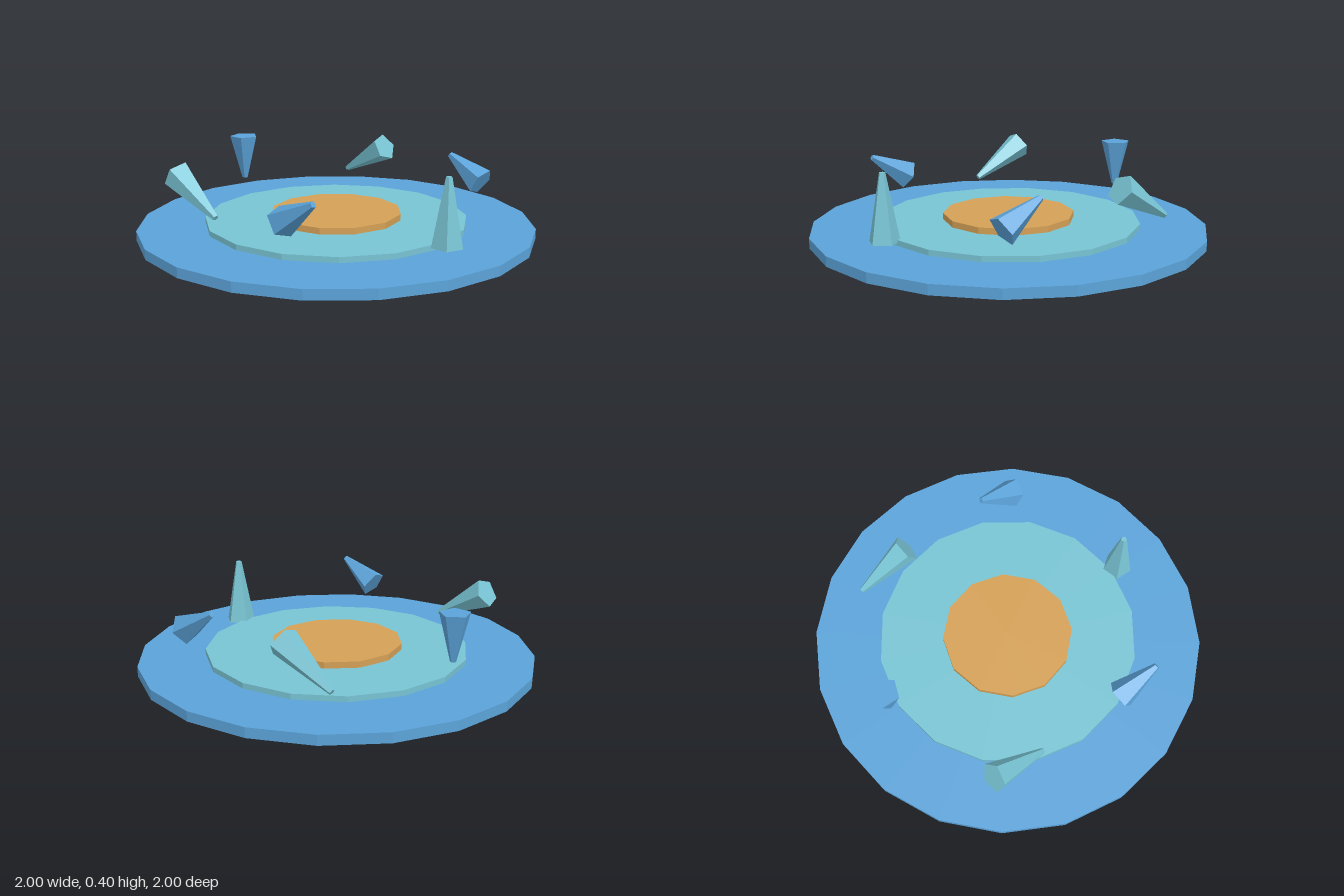
import * as THREE from 'three';

export function createModel() {
  const model = new THREE.Group();
  model.name = 'crystalRingPlatform';

  const flat = (name, color) => {
    const m = new THREE.MeshStandardMaterial({ color, flatShading: true });
    m.name = name;
    return m;
  };
  const blue = flat('blue', 0x5ba3d9);
  const teal = flat('teal', 0x78c4d4);
  const gold = flat('gold', 0xd4a056);

  // Stacked low-poly discs, each resting on the one below
  const addDisc = (name, radius, sides, bottom, top, material) => {
    const disc = new THREE.Mesh(
      new THREE.CylinderGeometry(radius, radius, top - bottom, sides), material);
    disc.position.y = (bottom + top) / 2;
    disc.name = name;
    model.add(disc);
  };
  addDisc('baseDisc', 1, 20, 0, 0.05, blue);
  addDisc('middleDisc', 0.665, 16, 0.05, 0.078, teal);
  addDisc('centreDisc', 0.333, 12, 0.078, 0.11, gold);

  // Ring of five-sided crystals, each tumbled 60 degrees further than the last
  const ringRadius = 0.706;
  for (let i = 0; i < 6; i++) {
    const angle = (i * Math.PI) / 3;
    const large = i % 2 === 0;
    const height = large ? 0.333 : 0.235;
    const crystal = new THREE.Mesh(
      new THREE.CylinderGeometry(0.0155, 0.077, height, 5, 1, false, Math.PI),
      large ? teal : blue);
    crystal.position.set(
      Math.cos(angle) * ringRadius, large ? 0.234 : 0.283, -Math.sin(angle) * ringRadius);
    crystal.rotation.z = angle;
    crystal.name = (large ? 'largeCrystal' : 'smallCrystal') + (Math.floor(i / 2) + 1);
    model.add(crystal);
  }

  return model;
}
